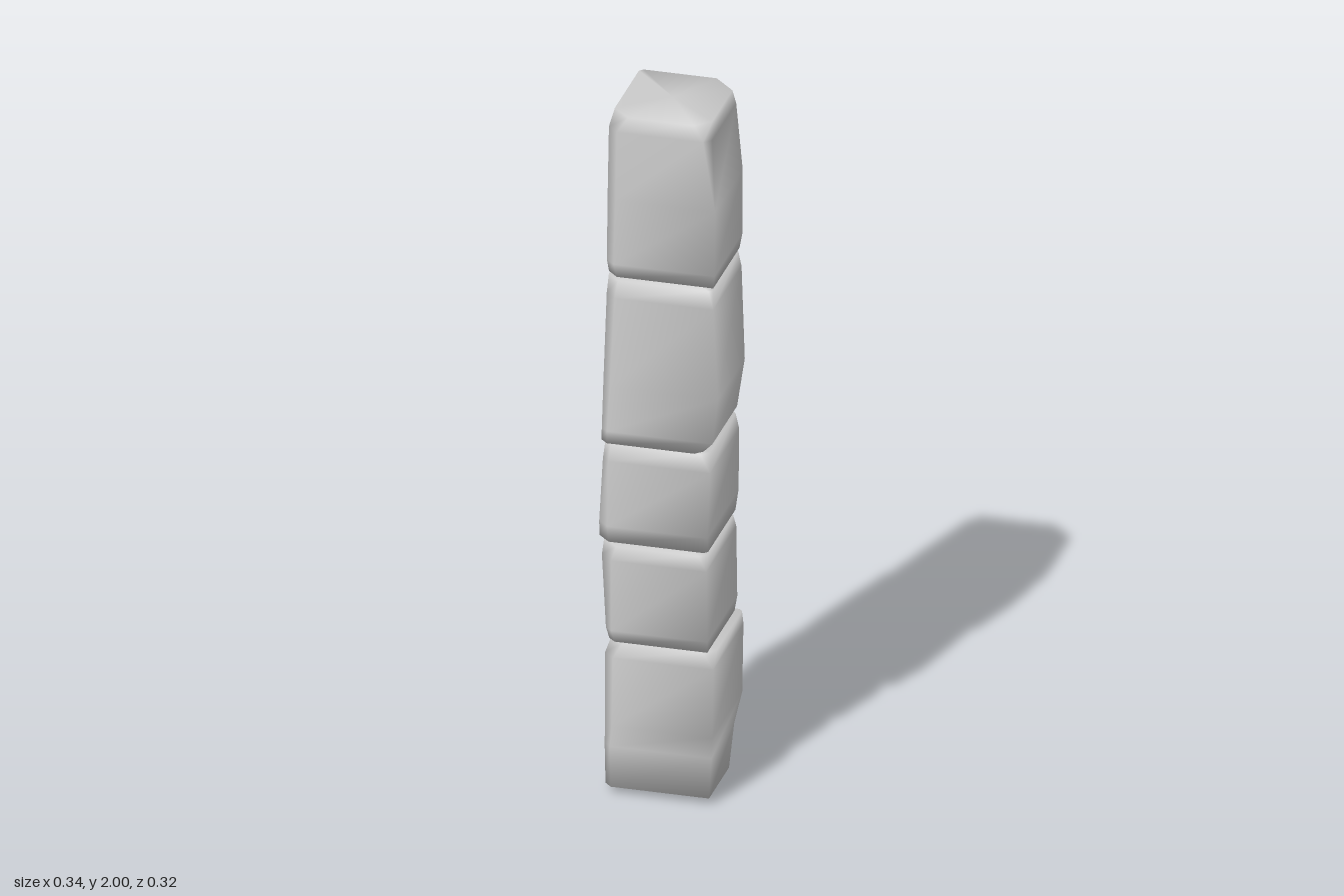
import * as THREE from 'three';
import { mergeVertices } from 'three/addons/utils/BufferGeometryUtils.js';

// One rough stone, lofted through rings listed from bottom to top.
// ring: [y, left x, right x, back z, front z, then corner cuts:
//        front left-hand, front right-hand, back right-hand, back left-hand]
function stone(name, bottomY, topY, rings) {
  const positions = [], index = [];
  for (const [y, x0, x1, z0, z1, a, b, c, d] of rings) {
    const outline = [
      [x0, z1 - a], [x0 + a, z1], [x1 - b, z1], [x1, z1 - b],
      [x1, z0 + c], [x1 - c, z0], [x0 + d, z0], [x0, z0 + d],
    ];
    for (const [x, z] of outline) positions.push(x, y, z);
  }
  const n = 8, last = (rings.length - 1) * n;
  const low = rings.length * n, high = low + 1;
  positions.push(0, bottomY, -0.01, 0, topY, 0);

  for (let i = 0; i < n; i++) {
    const j = (i + 1) % n;
    for (let r = 0; r < last; r += n) {
      index.push(r + i, r + j, r + n + j, r + i, r + n + j, r + n + i);
    }
    index.push(low, j, i, high, last + i, last + j);
  }

  let geometry = new THREE.BufferGeometry();
  geometry.setAttribute('position', new THREE.Float32BufferAttribute(positions, 3));
  geometry.setIndex(index);
  // uncut corners collapse to a single shared vertex for soft shading
  geometry = mergeVertices(geometry, 1e-5);
  geometry.computeVertexNormals();
  const mesh = new THREE.Mesh(geometry, new THREE.MeshStandardMaterial({ color: 0xcccccc }));
  mesh.name = name;
  return mesh;
}

export function createModel() {
  const group = new THREE.Group();
  group.name = 'stonePillar';

  group.add(
    // base stone, with its back corner broken away near the ground
    stone('baseStone', 0.0, 0.44, [
      [0.02, -0.148, 0.143, -0.145, 0.153, 0.02, 0, 0.1, 0.02],
      [0.14, -0.15, 0.15, -0.152, 0.155, 0.02, 0, 0.08, 0],
      [0.2, -0.15, 0.152, -0.154, 0.155, 0.025, 0, 0.01, 0],
      [0.4, -0.152, 0.155, -0.155, 0.153, 0.03, 0, 0.01, 0.01],
      [0.44, -0.14, 0.153, -0.148, 0.14, 0.04, 0.03, 0.01, 0.02],
    ]),
    // two short stones
    stone('lowerShortStone', 0.44, 0.73, [
      [0.445, -0.14, 0.136, -0.145, 0.145, 0.02, 0, 0.02, 0.01],
      [0.48, -0.147, 0.138, -0.155, 0.153, 0.02, 0, 0.01, 0],
      [0.69, -0.16, 0.138, -0.155, 0.161, 0.035, 0, 0.02, 0],
      [0.73, -0.158, 0.135, -0.146, 0.155, 0.045, 0.02, 0.03, 0.015],
    ]),
    stone('upperShortStone', 0.735, 1.03, [
      [0.74, -0.17, 0.137, -0.15, 0.15, 0.035, 0.01, 0.02, 0],
      [0.79, -0.166, 0.14, -0.16, 0.161, 0.03, 0, 0.01, 0],
      [0.98, -0.154, 0.147, -0.152, 0.157, 0.02, 0, 0.02, 0],
      [1.03, -0.148, 0.14, -0.15, 0.154, 0.02, 0.02, 0.03, 0.01],
    ]),
    // two tall stones
    stone('lowerTallStone', 1.035, 1.51, [
      [1.035, -0.157, 0.125, -0.142, 0.161, 0.02, 0.02, 0.08, 0.01],
      [1.07, -0.156, 0.155, -0.152, 0.161, 0.02, 0, 0.07, 0],
      [1.2, -0.154, 0.169, -0.158, 0.158, 0.025, 0, 0.05, 0],
      [1.46, -0.148, 0.154, -0.16, 0.151, 0.03, 0, 0.03, 0],
      [1.51, -0.145, 0.15, -0.158, 0.146, 0.035, 0.01, 0.045, 0.01],
    ]),
    stone('upperTallStone', 1.515, 2.0, [
      [1.52, -0.144, 0.152, -0.136, 0.143, 0.03, 0, 0.02, 0.01],
      [1.56, -0.146, 0.158, -0.143, 0.152, 0.025, 0, 0.02, 0],
      [1.75, -0.145, 0.16, -0.15, 0.153, 0.03, 0, 0.03, 0],
      [1.95, -0.142, 0.146, -0.151, 0.151, 0.03, 0.02, 0.045, 0],
      [1.995, -0.132, 0.14, -0.15, 0.148, 0.05, 0.04, 0.06, 0.01],
    ]),
  );
  return group;
}
